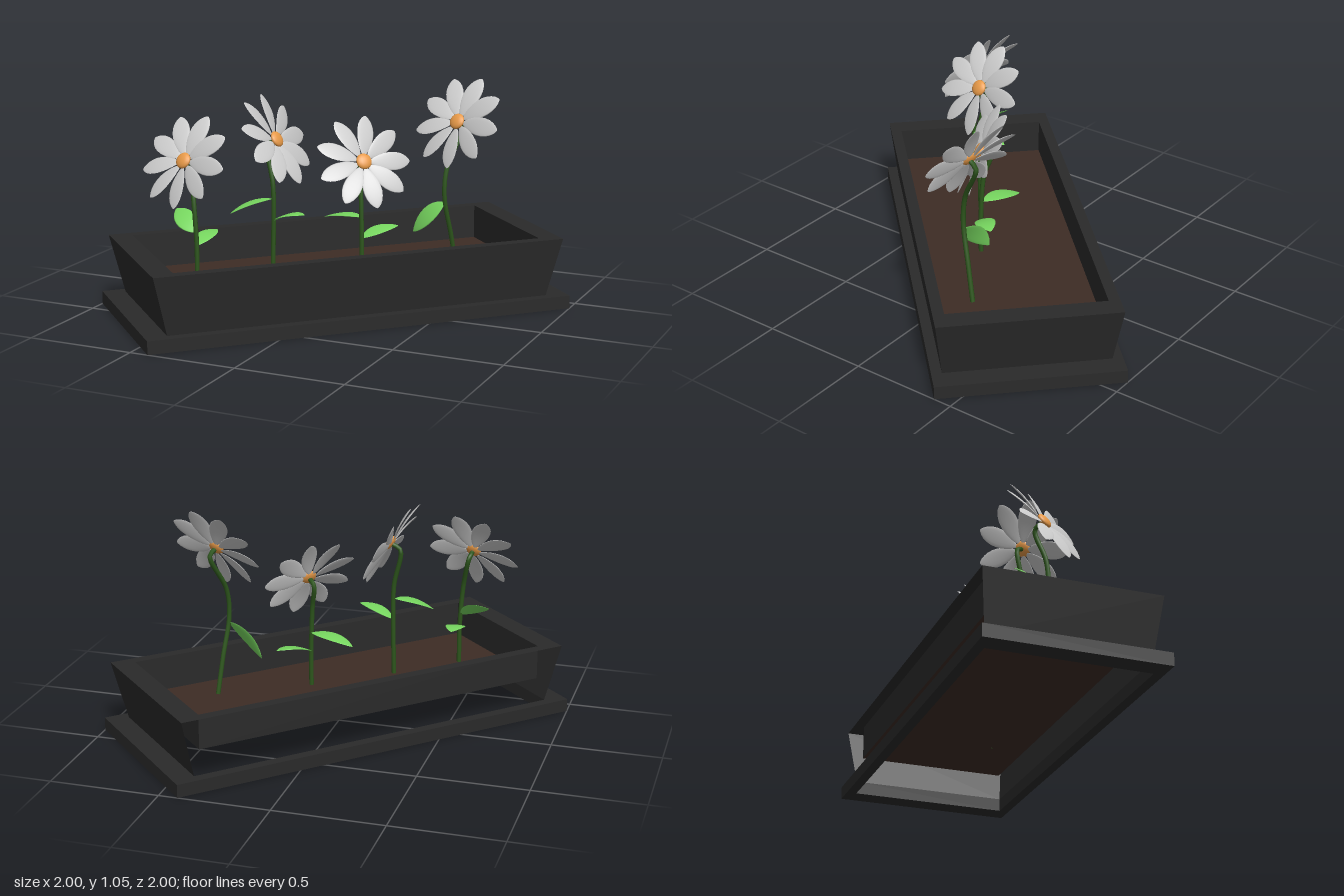
import * as THREE from 'three';

const material = (color) => new THREE.MeshStandardMaterial({ color, side: THREE.DoubleSide });
const mats = {
  planter: material(0x2a2a2a),
  soil: material(0x3d2c25),
  stem: material(0x2d561c),
  leaf: material(0x78d860),
  petal: material(0xdddddd),
  disc: material(0xe89a48),
};
const V = (a) => new THREE.Vector3(...a);

function add(parent, name, geometry, mat) {
  const mesh = new THREE.Mesh(geometry, mat);
  mesh.name = name;
  parent.add(mesh);
  return mesh;
}

// Rectangle outline centred on the origin
function rect(Type, w, d) {
  const p = new Type();
  p.moveTo(-w / 2, -d / 2);
  p.lineTo(w / 2, -d / 2);
  p.lineTo(w / 2, d / 2);
  p.lineTo(-w / 2, d / 2);
  p.closePath();
  return p;
}

function frameShape(w, d, holeW, holeD) {
  const shape = rect(THREE.Shape, w, d);
  shape.holes.push(rect(THREE.Path, holeW, holeD));
  return shape;
}

// Wall panels between a lower and an upper rectangle [width, depth, y];
// sides: 0 front, 1 right end, 2 back, 3 left end
function walls(low, high, sides) {
  const signs = [[-1, 1], [1, 1], [1, -1], [-1, -1]];
  const corner = (r, i) => [signs[i % 4][0] * r[0] / 2, r[2], signs[i % 4][1] * r[1] / 2];
  const pos = [];
  for (const i of sides) {
    const a = corner(low, i), b = corner(low, i + 1), c = corner(high, i + 1), d = corner(high, i);
    pos.push(...a, ...b, ...c, ...a, ...c, ...d);
  }
  const g = new THREE.BufferGeometry();
  g.setAttribute('position', new THREE.Float32BufferAttribute(pos, 3));
  g.computeVertexNormals();
  return g;
}

// Thin blade along +z: a flattened sphere, tapered, pointed and bent
function blade(length, halfWidth, thickness, taper, point, bend) {
  const g = new THREE.SphereGeometry(1, 14, 12).rotateX(Math.PI / 2);
  const p = g.attributes.position;
  for (let i = 0; i < p.count; i++) {
    const z = p.getZ(i), t = (z + 1) / 2;
    const w = halfWidth * (1 + taper * z) * Math.pow(Math.max(0, 1 - z * z), point);
    p.setXYZ(i, p.getX(i) * w, p.getY(i) * thickness + bend * 4 * t * (1 - t), t * length);
  }
  g.computeVertexNormals();
  return g;
}

function makePlanter() {
  const planter = new THREE.Group();
  planter.name = 'planter';
  // Base frame, open in the middle
  const base = new THREE.ExtrudeGeometry(frameShape(2, 0.828, 1.8, 0.735), { depth: 0.06, bevelEnabled: false });
  add(planter, 'baseFrame', base.rotateX(-Math.PI / 2), mats.planter);
  // Sloped outer panels; the back is open
  add(planter, 'outerWalls', walls([1.8, 0.735, 0.06], [1.93, 0.8, 0.33], [0, 1, 3]), mats.planter);
  const rim = new THREE.ShapeGeometry(frameShape(1.93, 0.8, 1.73, 0.7)).rotateX(-Math.PI / 2);
  add(planter, 'rim', rim, mats.planter).position.y = 0.33;
  // Trough that holds the soil
  add(planter, 'trough', walls([1.73, 0.7, 0.17], [1.73, 0.7, 0.33], [0, 1, 2, 3]), mats.planter);
  add(planter, 'soil', new THREE.PlaneGeometry(1.73, 0.7).rotateX(-Math.PI / 2), mats.soil).position.y = 0.17;
  planter.rotation.y = Math.PI / 4;
  return planter;
}

const petalGeometry = blade(0.2, 0.042, 0.004, 0.22, 0.22, 0.008);

function makeFlower({ head, yaw, stem, leaves }) {
  const flower = new THREE.Group();
  flower.name = 'flower';

  // Blossom: nine petals around a domed disc, tilted upwards
  const blossom = new THREE.Group();
  blossom.name = 'blossom';
  blossom.position.set(...head);
  blossom.rotation.set(-Math.PI / 6, yaw * Math.PI / 180, 0, 'YXZ');
  for (let i = 0; i < 9; i++) {
    const holder = new THREE.Group();
    holder.rotation.z = (77 - 90 + i * 40) * Math.PI / 180;
    const petal = add(holder, 'petal', petalGeometry, mats.petal);
    petal.position.y = 0.025;
    petal.rotation.set(-Math.PI / 2, 0, 0.2);
    petal.scale.y = -1;
    blossom.add(holder);
  }
  const disc = add(blossom, 'disc', new THREE.SphereGeometry(0.037, 16, 12), mats.disc);
  disc.scale.z = 0.45;
  disc.position.z = 0.008;
  flower.add(blossom);

  // Stem ends just behind the blossom
  const normal = new THREE.Vector3(0, 0, 1).applyEuler(blossom.rotation);
  const points = stem.map(V);
  points.push(V(head).addScaledVector(normal, -0.05), V(head).addScaledVector(normal, -0.005));
  add(flower, 'stem', new THREE.TubeGeometry(new THREE.CatmullRomCurve3(points), 32, 0.011, 8), mats.stem);

  // Leaves: [root, tip, upward direction]
  for (const [root, tip, up] of leaves) {
    const length = V(root).distanceTo(V(tip));
    const leaf = add(flower, 'leaf', blade(length, 0.046, 0.004, -0.1, 0.3, 0.015), mats.leaf);
    leaf.position.set(...root);
    leaf.up.set(...up);
    leaf.lookAt(V(tip));
  }
  return flower;
}

const flowers = [
  {
    head: [-0.515, 0.73, 0.475], yaw: -11,
    stem: [[-0.46, 0.17, 0.475], [-0.46, 0.36, 0.475], [-0.475, 0.56, 0.47]],
    leaves: [
      [[-0.465, 0.41, 0.475], [-0.615, 0.485, 0.38], [0, 0.75, 0.65]],
      [[-0.46, 0.35, 0.47], [-0.46, 0.385, 0.29], [0, 1, 0]],
    ],
  },
  {
    head: [-0.185, 0.81, 0.23], yaw: 84,
    stem: [[-0.2, 0.17, 0.24], [-0.195, 0.36, 0.24], [-0.195, 0.6, 0.24]],
    leaves: [
      [[-0.2, 0.54, 0.24], [-0.365, 0.475, 0.33], [-0.4, 0.9, 0.2]],
      [[-0.19, 0.44, 0.24], [-0.02, 0.49, 0.28], [-0.2, 1, 0]],
    ],
  },
  {
    head: [0.135, 0.69, -0.015], yaw: 45,
    stem: [[0.13, 0.17, -0.01], [0.13, 0.36, -0.01], [0.12, 0.56, -0.02]],
    leaves: [
      [[0.125, 0.43, -0.02], [-0.085, 0.4, -0.07], [0, 1, 0]],
      [[0.13, 0.335, -0.01], [0.25, 0.375, -0.155], [0, 1, 0.2]],
    ],
  },
  {
    head: [0.505, 0.865, -0.235], yaw: -17,
    stem: [[0.505, 0.17, -0.245], [0.49, 0.34, -0.21], [0.47, 0.53, -0.17], [0.475, 0.66, -0.185]],
    leaves: [[[0.47, 0.5, -0.175], [0.31, 0.345, -0.19], [-0.3, 0.5, 0.8]]],
  },
];

export function createModel() {
  const model = new THREE.Group();
  model.name = 'flowerPlanter';
  model.add(makePlanter());
  for (const f of flowers) model.add(makeFlower(f));
  return model;
}
